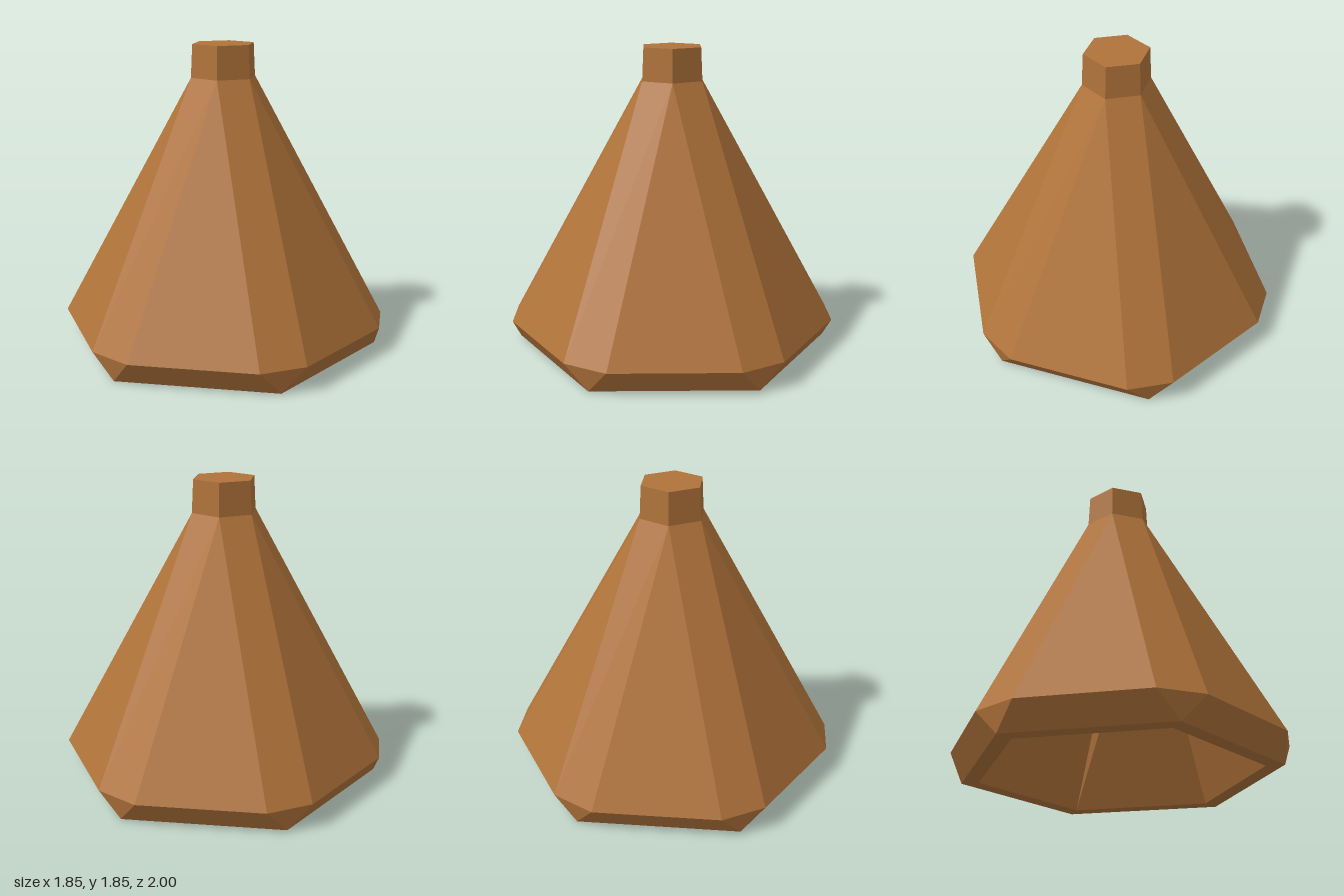
import * as THREE from 'three';

const wood = new THREE.MeshStandardMaterial({ color: 0xb0733a, flatShading: true });
wood.name = 'warm brown';

// Point on a ring: angle in degrees from the front (+z) towards +x
const WIDTH = 0.988;
function at(radius, y, degrees) {
  const a = THREE.MathUtils.degToRad(degrees);
  return [WIDTH * radius * Math.sin(a), y, radius * Math.cos(a)];
}

// Mesh made of flat polygons, each fanned from its first corner
function facets(name, polygons) {
  const positions = [];
  for (const p of polygons) {
    for (let k = 1; k < p.length - 1; k++) positions.push(...p[0], ...p[k], ...p[k + 1]);
  }
  const geometry = new THREE.BufferGeometry();
  geometry.setAttribute('position', new THREE.Float32BufferAttribute(positions, 3));
  geometry.computeVertexNormals();
  const mesh = new THREE.Mesh(geometry, wood);
  mesh.name = name;
  return mesh;
}

export function createModel() {
  const group = new THREE.Group();
  group.name = 'facetedCone';

  // Cross-sections from the floor up
  const CHAMFER = 8.1;
  const base = (d) => at(0.97, 0, d);
  const shoulder = (d) => at(1.01, 0.15, d);
  const neck = (d) => at(0.207, 1.65, d);
  const top = (d) => at(0.197, 1.85, d);
  const opening = (d) => at(0.86, 0, d);
  const ceiling = (d) => at(0.2, 1.4, d);

  const foot = [], body = [], collar = [], rim = [], cavity = [], cap = [], roof = [];
  for (let i = 0; i < 6; i++) {
    const a = i * 60, b = a + 60;
    // Flared foot: long panel and chamfered corner
    foot.push([base(a), base(b), shoulder(b - CHAMFER), shoulder(a + CHAMFER)]);
    foot.push([base(a), shoulder(a + CHAMFER), shoulder(a - CHAMFER)]);
    // Tapered body: triangle over each panel, strip over each corner
    body.push([shoulder(a + CHAMFER), shoulder(b - CHAMFER), neck(a + 30)]);
    body.push([shoulder(a - CHAMFER), shoulder(a + CHAMFER), neck(a + 30), neck(a - 30)]);
    // Six-sided neck
    collar.push([neck(a - 30), neck(a + 30), top(a + 30), top(a - 30)]);
    cap.push(top(a + 30));
    // Bottom rim and hollow inside
    rim.push([base(a), opening(a), opening(b), base(b)]);
    cavity.push([opening(b), opening(a), ceiling(a - 30)]);
    cavity.push([opening(b), ceiling(a - 30), ceiling(a + 30)]);
    roof.unshift(ceiling(a + 30));
  }

  group.add(
    facets('foot', foot),
    facets('body', body),
    facets('neck', collar),
    facets('topCap', [cap]),
    facets('bottomRim', rim),
    facets('innerWall', cavity),
    facets('innerCeiling', [roof]),
  );
  return group;
}
